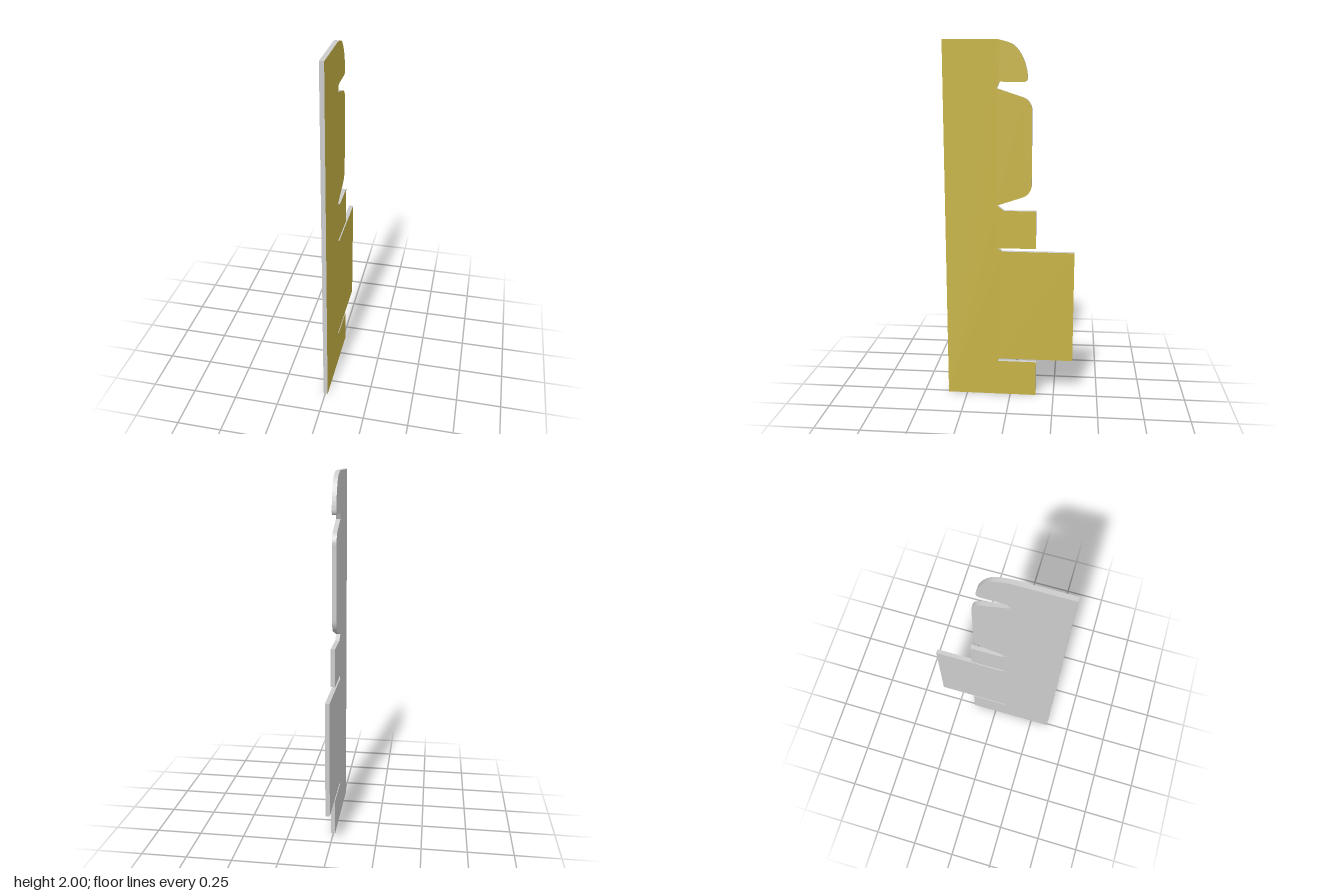
import * as THREE from 'three';

const THICK = 0.024, X0 = -0.01;

const grey = new THREE.MeshStandardMaterial({ color: 0xcccccc });
const yellow = new THREE.MeshStandardMaterial({ color: 0xc8b446 });

// Flat plate lying in the y/z plane; shape coordinates are (-z, y). Only the +x face is yellow.
function plate(name, shape, bend = () => 0) {
  const geo = new THREE.ExtrudeGeometry(shape, { depth: THICK, bevelEnabled: false, curveSegments: 8 });
  const caps = geo.groups[0].count, total = geo.attributes.position.count;
  geo.clearGroups();
  geo.addGroup(0, caps / 2, 0);
  geo.addGroup(caps / 2, caps / 2, 1);
  geo.addGroup(caps, total - caps, 0);
  const pos = geo.attributes.position;
  for (let i = 0; i < total; i++) pos.setZ(i, pos.getZ(i) + X0 + bend(pos.getX(i)));
  geo.rotateY(Math.PI / 2);
  geo.computeVertexNormals();
  const mesh = new THREE.Mesh(geo, [grey, yellow]);
  mesh.name = name;
  return mesh;
}

export function createModel() {
  const group = new THREE.Group();
  group.name = 'notchedPanel';

  // Main strip with foot tab, wide tab, small tab and rounded top
  const body = new THREE.Shape();
  body.moveTo(-0.36, 0);
  [[0.148, 0], [0.148, 0.204], [-0.069, 0.204], [-0.069, 0.215], [-0.06, 0.22],
    [0.356, 0.22], [0.356, 0.858], [-0.045, 0.858], [-0.069, 0.877],
    [0.143, 0.877], [0.143, 1.089], [-0.034, 1.089], [-0.072, 1.118],
    [-0.072, 1.749], [-0.056, 1.783], [0.075, 1.783]].forEach(([u, y]) => body.lineTo(u, y));
  body.quadraticCurveTo(0.093, 1.783, 0.093, 1.807);
  body.bezierCurveTo(0.088, 1.87, 0.065, 1.935, 0.02, 1.972);
  body.quadraticCurveTo(-0.005, 1.988, -0.066, 2);
  body.lineTo(-0.36, 2);
  body.closePath();
  group.add(plate('mainPanel', body));

  // Round-cornered flap, leaning slightly towards -x at its free edge
  const flap = new THREE.Shape();
  flap.moveTo(-0.072, 1.118);
  flap.lineTo(0.068, 1.165);
  flap.bezierCurveTo(0.095, 1.174, 0.117, 1.2, 0.117, 1.235);
  flap.lineTo(0.117, 1.635);
  flap.bezierCurveTo(0.117, 1.667, 0.095, 1.694, 0.068, 1.703);
  flap.lineTo(-0.072, 1.749);
  flap.closePath();
  group.add(plate('flap', flap, (u) => -0.0042 * (u + 0.072) / 0.189));

  return group;
}
